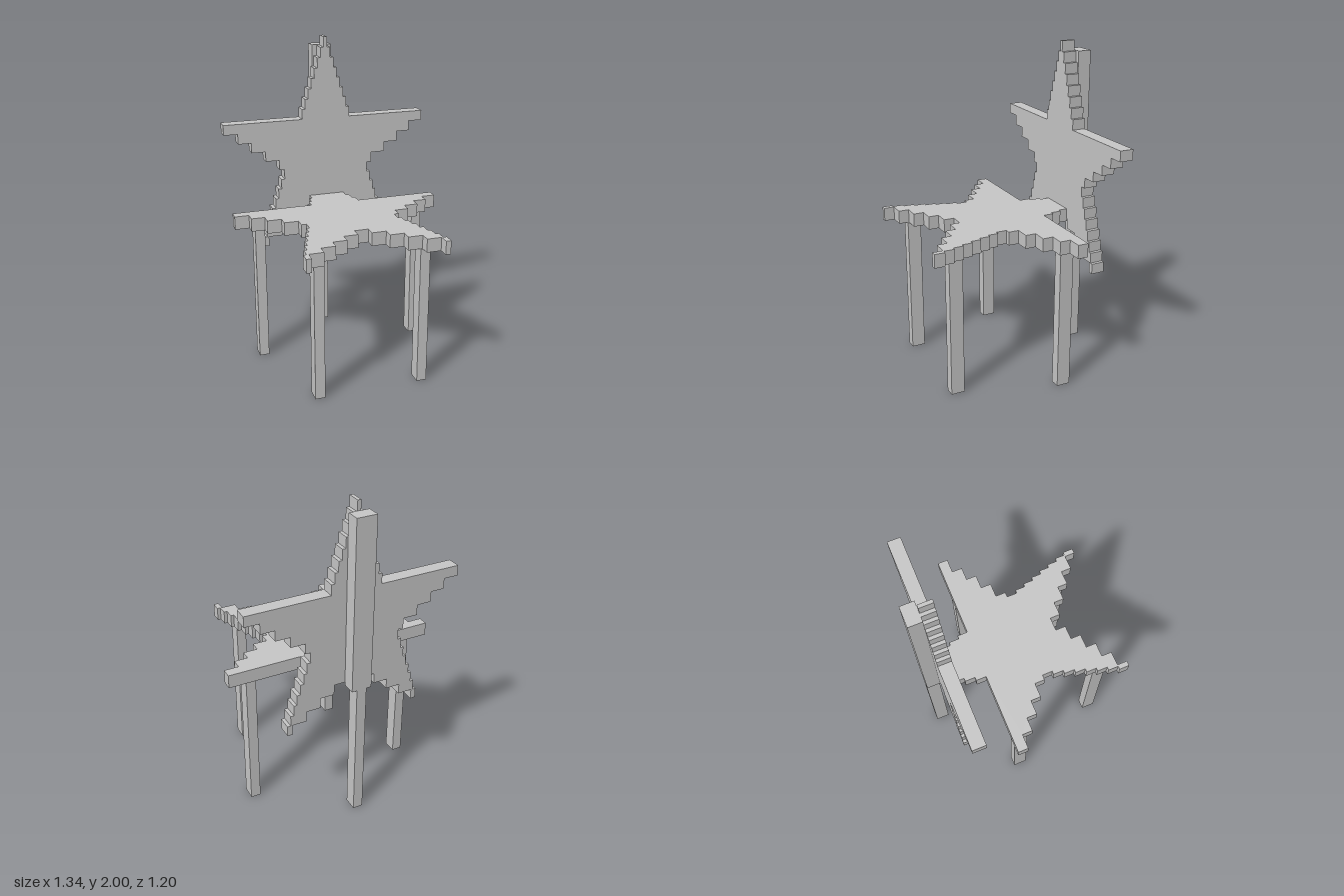
import * as THREE from 'three';

const ROW = 0.0648; // height of one step of the star

// Half width of each step from the top tip down, and half width of the notch between the lower tips
const HALF = [0.011, 0.032, 0.053, 0.074, 0.095, 0.116, 0.137, 0.158, 0.67, 0.58, 0.495,
  0.405, 0.315, 0.283, 0.305, 0.326, 0.347, 0.37, 0.39, 0.411, 0.432];
const NOTCH = { 16: 0.043, 17: 0.132, 18: 0.22, 19: 0.31, 20: 0.4 };

// Stepped star plate, beginning at the given row; the top tip lies at y = 0
function starPlate(firstRow, depth) {
  const side = [];
  for (let i = firstRow; i <= 20; i++) {
    side.push([HALF[i], -i * ROW], [HALF[i], -(i + 1) * ROW]);
  }
  for (let i = 20; i >= 16; i--) {
    side.push([NOTCH[i], -(i + 1) * ROW], [NOTCH[i], -i * ROW]);
  }
  const mirrored = side.map(([x, y]) => [-x, y]).reverse();
  const shape = new THREE.Shape([...side, ...mirrored].map(([x, y]) => new THREE.Vector2(x, y)));
  return new THREE.ExtrudeGeometry(shape, { depth, bevelEnabled: false });
}

export function createModel() {
  const chair = new THREE.Group();
  chair.name = 'starChair';
  const grey = new THREE.MeshStandardMaterial({ color: 0xc8c8c8 });
  grey.name = 'lightGrey';

  function add(name, geometry, x, y, z) {
    const mesh = new THREE.Mesh(geometry, grey);
    mesh.name = name;
    mesh.position.set(x, y, z);
    chair.add(mesh);
  }

  // Upright star backrest
  add('backrest', starPlate(0, 0.085), 0, 2, -0.515);

  // Flat star seat, its rear arm cut off at the backrest
  const seat = starPlate(5, 0.084);
  seat.rotateX(-Math.PI / 2);
  add('seat', seat, 0, 0.879, 0.6 - 21 * ROW);

  // Post behind the backrest, standing on the rear leg
  add('backPost', new THREE.BoxGeometry(0.125, 1.061, 0.085), 0, 1.4095, -0.5575);

  // One leg under each arm of the star
  const leg = new THREE.BoxGeometry(0.062, 0.879, 0.085);
  add('rearLeg', leg, 0, 0.4395, -0.5575);
  for (const [side, s] of [['left', 1], ['right', -1]]) {
    add(side + 'MiddleLeg', leg, s * 0.523, 0.4395, -0.175);
    add(side + 'FrontLeg', leg, s * 0.326, 0.4395, 0.44);
  }
  return chair;
}
